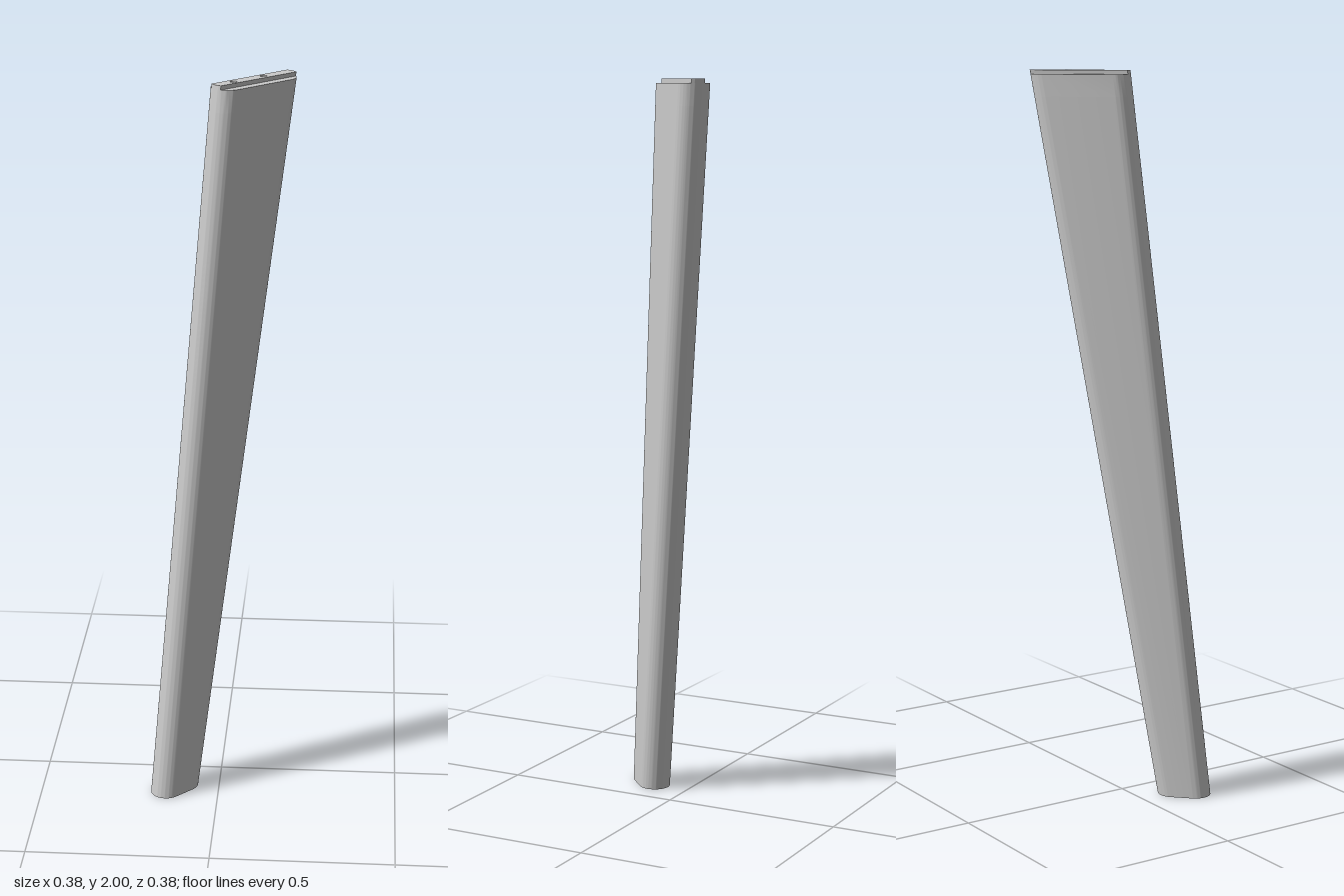
import * as THREE from 'three';
import { toCreasedNormals } from 'three/addons/utils/BufferGeometryUtils.js';

const R = 0.043;                 // half thickness of the leg
const TOP = [0.021, 0.208];      // centres of the rounded ends at the top
const FOOT = [-0.208, -0.146];   // the same at the floor
const HOLES = [0.041, 0.146];    // screw hole positions
const H = 2;

// Outline with rounded ends; a smaller angle gives a narrower strip
function outline(angle, holes) {
  const shape = new THREE.Shape();
  shape.absarc(TOP[1], 0, R, -angle, angle, false);
  shape.absarc(TOP[0], 0, R, Math.PI - angle, Math.PI + angle, false);
  shape.closePath();
  if (holes) {
    for (const u of HOLES) {
      shape.holes.push(new THREE.Path().absarc(u, 0, 0.009, 0, Math.PI * 2, true));
    }
  }
  return shape;
}

// One slice of the leg, leaning and tapering towards the foot
function slice(name, shape, y0, y1, material) {
  const geo = new THREE.ExtrudeGeometry(shape, { depth: y1 - y0, bevelEnabled: false, curveSegments: 24 });
  geo.rotateX(-Math.PI / 2);
  geo.translate(0, y0, 0);
  const p = geo.attributes.position;
  const mid = (TOP[0] + TOP[1]) / 2;
  for (let i = 0; i < p.count; i++) {
    const end = p.getX(i) > mid ? 1 : 0;
    p.setX(i, p.getX(i) + (FOOT[end] - TOP[end]) * (1 - p.getY(i) / H));
  }
  const mesh = new THREE.Mesh(toCreasedNormals(geo, 0.6), material);
  mesh.name = name;
  return mesh;
}

export function createModel() {
  const group = new THREE.Group();
  group.name = 'taperedLeg';
  const material = new THREE.MeshStandardMaterial({ color: 0xcccccc });
  const full = Math.PI / 2;
  const narrow = Math.asin(0.018 / R);

  const leg = new THREE.Group();
  leg.name = 'leg';
  leg.add(
    slice('legBody', outline(full, false), 0, 1.93, material),
    slice('drilledLegTop', outline(full, true), 1.93, 1.989, material),
    slice('mountingTongue', outline(narrow, true), 1.989, H, material)
  );
  // The leg splays along the diagonal
  leg.rotation.y = Math.PI / 4;
  group.add(leg);
  return group;
}
